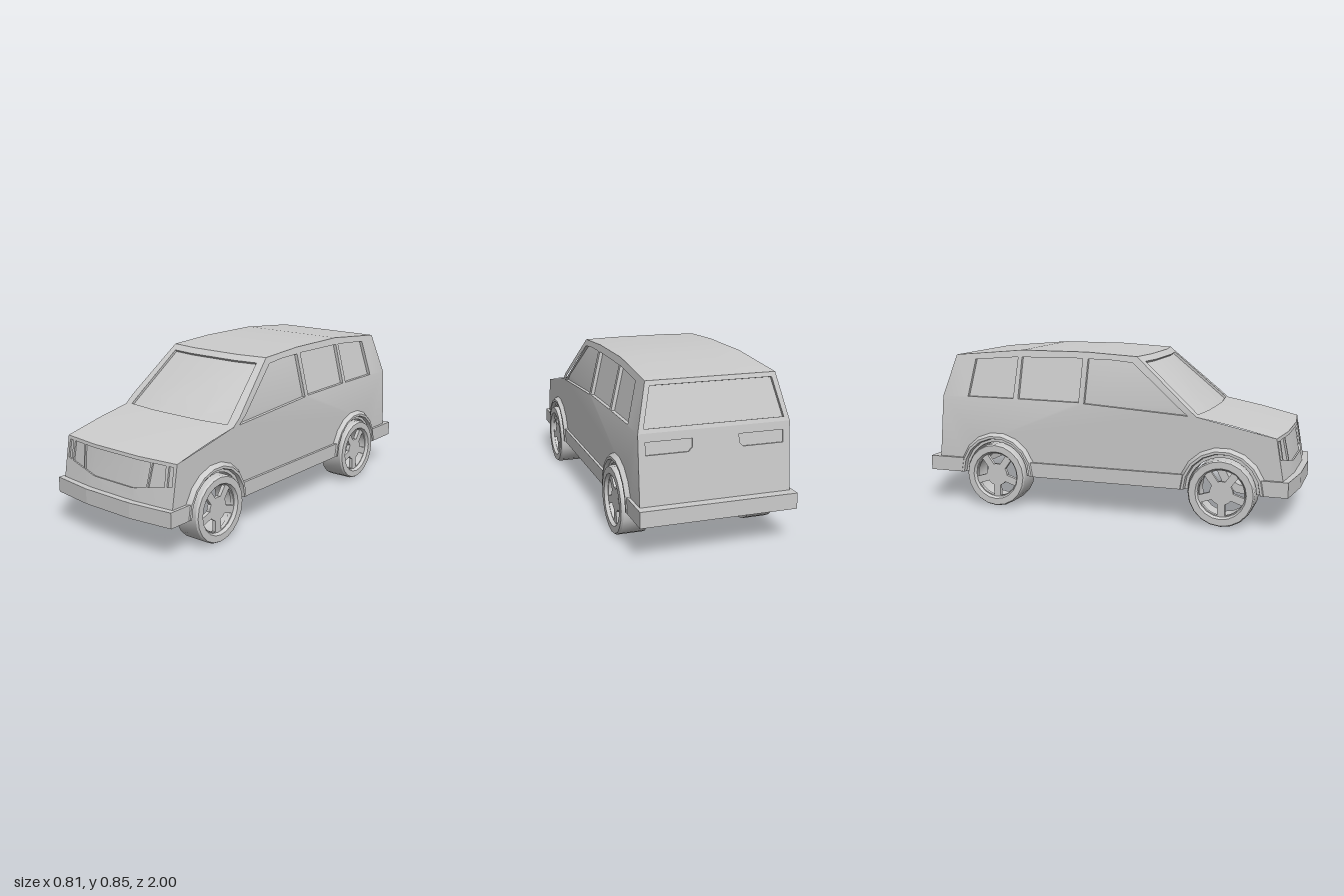
import * as THREE from 'three';
import { toCreasedNormals } from 'three/addons/utils/BufferGeometryUtils.js';

const grey = new THREE.MeshStandardMaterial({ color: 0xcccccc });
const BELT = 0.585, FLAT = 0.15, FLOOR = 0.175;
const WHEELS = [0.64, -0.6];
const ARCH = 0.19, WELL = 0.174;
const lerp = THREE.MathUtils.lerp;

// Half width of the body: upright below the belt line, leaning in above it
const halfWidth = y => (y < BELT ? 0.374 : lerp(0.374, 0.312, (y - BELT) / (0.845 - BELT)));
// Bow of the nose, windscreen and hood: flat in the middle, swept back at both ends
const bowAt = (x, y, bow) =>
  bow * THREE.MathUtils.clamp((halfWidth(y) - Math.abs(x)) / (halfWidth(y) - FLAT), 0, 1);

function mesh(name, geometry) {
  const m = new THREE.Mesh(geometry, grey);
  m.name = name;
  return m;
}

// Mesh from convex polygons of [x, y, z] corners
function polyMesh(name, polys, flip = false) {
  const pos = [];
  for (const p of polys) {
    for (let i = 1; i < p.length - 1; i++) {
      const tri = flip ? [p[0], p[i + 1], p[i]] : [p[0], p[i], p[i + 1]];
      for (const v of tri) pos.push(...v);
    }
  }
  const g = new THREE.BufferGeometry();
  g.setAttribute('position', new THREE.Float32BufferAttribute(pos, 3));
  return mesh(name, toCreasedNormals(g, 0.4));
}

// Quads between successive rows of points
function gridPolys(rows) {
  const polys = [];
  for (let i = 0; i < rows.length - 1; i++)
    for (let j = 0; j < rows[i].length - 1; j++)
      polys.push([rows[i][j], rows[i][j + 1], rows[i + 1][j + 1], rows[i + 1][j]]);
  return polys;
}

// Part of a flat polygon on one side of a line
function clip(poly, axis, c, sign) {
  const out = [];
  poly.forEach((p, i) => {
    const q = poly[(i + 1) % poly.length];
    const a = sign * (p[axis] - c), b = sign * (q[axis] - c);
    if (a >= 0) out.push(p);
    if (a * b < 0) out.push([0, 1].map(k => lerp(p[k], q[k], a / (a - b))));
  });
  return out;
}

// Triangulated outline, split along the fold lines of the panel
function fill(outline, holes, cuts) {
  const vec = pts => pts.map(p => new THREE.Vector2(p[0], p[1]));
  const shape = new THREE.Shape(vec(outline));
  shape.holes = holes.map(h => new THREE.Path(vec(h)));
  const g = new THREE.ShapeGeometry(shape);
  const at = g.attributes.position, idx = g.index.array;
  let polys = [];
  for (let i = 0; i < idx.length; i += 3)
    polys.push([0, 1, 2].map(k => [at.getX(idx[i + k]), at.getY(idx[i + k])]));
  for (const [axis, c] of cuts)
    polys = polys.flatMap(p => [clip(p, axis, c, 1), clip(p, axis, c, -1)]).filter(p => p.length > 2);
  return polys;
}

// Body panel with recessed openings; map(a, b, depth) places it in space
function panel(name, paneName, outline, holes, depth, map, cuts, flip) {
  const group = new THREE.Group();
  group.name = name;
  const place = d => poly => poly.map(p => map(p[0], p[1], d));
  const faces = fill(outline, holes, cuts).map(place(0));
  for (let h of holes) {
    if (THREE.ShapeUtils.isClockWise(h.map(p => new THREE.Vector2(...p)))) h = [...h].reverse();
    h.forEach((p, i) => {
      const q = h[(i + 1) % h.length];
      faces.push([map(...p, 0), map(...q, 0), map(...q, depth), map(...p, depth)]);
    });
    group.add(polyMesh(paneName, fill(h, [], cuts).map(place(depth)), flip));
  }
  group.add(polyMesh(name + 'Shell', faces, flip));
  return group;
}

// Panel across the car between two profile points [z, y]
function crossPanel(name, paneName, [zA, yA], [zB, yB], bow, holes, depth, facing) {
  const right = [yA, BELT, yB].filter(y => y >= yA && y <= yB).filter((y, i, l) => l.indexOf(y) === i)
    .map(y => [halfWidth(y), y]);
  const outline = [...right, ...[...right].reverse().map(([x, y]) => [-x, y])];
  const len = Math.hypot(zB - zA, yB - yA);
  const ny = facing * (zA - zB) / len, nz = facing * (yB - yA) / len;
  const map = (x, y, d) => [x, y - d * ny,
    lerp(zA, zB, (y - yA) / (yB - yA)) + bowAt(x, y, bow) - d * nz];
  return panel(name, paneName, outline, holes, depth, map,
    [[0, -FLAT], [0, FLAT], [1, BELT]], facing < 0);
}

// Hood or roof: rows across the car at each [z, y, bow]
function skin(name, profile) {
  return polyMesh(name, gridPolys(profile.map(([z, y, bow]) =>
    [-halfWidth(y), -FLAT, FLAT, halfWidth(y)].map(x => [x, y, z + bowAt(x, y, bow)]))));
}

const mirrorX = pts => pts.map(([x, y]) => [-x, y]);
const arc = (zc, r, n = 9) => Array.from({ length: n + 1 }, (_, i) => {
  const a = Math.PI * i / n;
  return [zc - r * Math.cos(a), FLOOR + r * Math.sin(a)];
});

// Side with three windows and two wheel openings
function side(s) {
  const outline = [[-0.955, FLOOR], ...arc(WHEELS[1], ARCH), ...arc(WHEELS[0], ARCH),
    [0.955, FLOOR], [0.905, 0.46], [0.505, 0.545], [0.175, 0.83], [-0.1, 0.845],
    [-0.47, 0.845], [-0.86, 0.81], [-0.922, BELT]];
  const windows = [
    [[0.46, 0.547], [-0.095, 0.582], [-0.09, 0.81], [0.04, 0.808], [0.155, 0.798]],
    [[-0.125, 0.586], [-0.472, 0.59], [-0.467, 0.808], [-0.12, 0.812]],
    [[-0.5, 0.59], [-0.77, 0.59], [-0.742, 0.788], [-0.49, 0.808]]];
  const map = (z, y, d) => [s * (halfWidth(y) - d), y, z];
  return panel(s > 0 ? 'leftSide' : 'rightSide', 'sideWindow', outline, windows, 0.018, map,
    [[1, BELT]], s > 0);
}

// Stepped fender flare running into the wheel well
function wheelArch(s, zc) {
  const profile = [[0.225, 0.373], [0.208, 0.395], [0.195, 0.395], [0.19, 0.375], [WELL, 0.375], [WELL, 0.25]];
  const rows = profile.map(([r, x]) => arc(zc, r, r === WELL ? 18 : 9).map(([z, y]) => [s * x, y, z]));
  // The well lip has twice as many sides, so the step above it gets matching midpoints
  const fine = row => row.flatMap((p, i) => (i ? [p.map((v, k) => (v + row[i - 1][k]) / 2), p] : [p]));
  return polyMesh('wheelArch', [...gridPolys(rows.slice(0, 4)),
    ...gridPolys([fine(rows[3]), rows[4], rows[5]])], s < 0);
}

// Wheel about the x axis, open at the back, with a five-spoke face
function wheel(s, zc) {
  const g = new THREE.Group();
  g.name = 'wheel';
  const tyre = new THREE.LatheGeometry([[0.122, -0.07], [0.17, -0.07], [0.17, 0.058], [0.164, 0.068],
    [0.13, 0.068], [0.122, 0.055], [0.122, -0.07]].map(p => new THREE.Vector2(...p)), 20);
  tyre.rotateZ(-Math.PI / 2);
  g.add(mesh('tyre', toCreasedNormals(tyre, 0.5)));
  const face = new THREE.Shape().absarc(0, 0, 0.124, 0, Math.PI * 2);
  for (let k = 0; k < 5; k++) {
    const mid = Math.PI / 2 + k * Math.PI * 0.4;
    const hole = new THREE.Path();
    hole.absarc(0, 0, 0.116, mid - 0.46, mid + 0.46, false);
    hole.absarc(0, 0, 0.06, mid + 0.3, mid - 0.3, true);
    face.holes.push(hole);
  }
  const rim = new THREE.ExtrudeGeometry(face, { depth: 0.02, bevelEnabled: false, curveSegments: 10 });
  rim.rotateY(Math.PI / 2).translate(0.03, 0, 0);
  g.add(mesh('spokedRim', rim));
  g.position.set(s * 0.337, 0.17, zc);
  if (s < 0) g.rotation.y = Math.PI;
  return g;
}

function box(name, x0, x1, y0, y1, z0, z1) {
  const m = mesh(name, new THREE.BoxGeometry(x1 - x0, y1 - y0, z1 - z0));
  m.position.set((x0 + x1) / 2, (y0 + y1) / 2, (z0 + z1) / 2);
  return m;
}

export function createModel() {
  const car = new THREE.Group();
  car.name = 'minivan';

  // Nose with grille, headlamps and corner lamps
  const grille = [[-0.213, 0.325], [-FLAT, 0.312], [-0.13, 0.308], [0.13, 0.308], [FLAT, 0.312],
    [0.213, 0.325], [0.226, 0.443], [FLAT, 0.443], [-FLAT, 0.443], [-0.226, 0.443]];
  const headlamp = [[0.222, 0.326], [0.316, 0.344], [0.313, 0.443], [0.236, 0.443]];
  const cornerLamp = [[0.33, 0.347], [0.358, 0.353], [0.356, 0.443], [0.33, 0.443]];
  car.add(crossPanel('nose', 'frontLamp', [0.955, FLOOR], [0.905, 0.46], 0.025,
    [grille, headlamp, mirrorX(headlamp), cornerLamp, mirrorX(cornerLamp)], 0.009, 1));

  // Windscreen
  car.add(crossPanel('windscreenFrame', 'windscreen', [0.505, 0.545], [0.175, 0.83], 0.025,
    [[[-0.332, 0.551], [-FLAT, 0.551], [FLAT, 0.551], [0.332, 0.551],
      [0.282, 0.804], [FLAT, 0.804], [-FLAT, 0.804], [-0.282, 0.804]]], 0.013, 1));

  // Tailgate with lamps and rear window
  const tailLamp = [[0.115, 0.545], [0.34, 0.545], [0.34, 0.485], [0.135, 0.485], [0.115, 0.505]];
  car.add(crossPanel('tailgate', 'tailLamp', [-0.955, FLOOR], [-0.922, BELT], 0,
    [tailLamp, mirrorX(tailLamp)], 0.008, -1));
  car.add(crossPanel('rearWindowFrame', 'rearWindow', [-0.922, BELT], [-0.86, 0.81], 0,
    [[[-0.345, 0.605], [0.345, 0.605], [0.3, 0.788], [-0.3, 0.788]]], 0.015, -1));

  // Hood and roof
  car.add(skin('hood', [[0.905, 0.46, 0.025], [0.7, 0.508, 0.025], [0.505, 0.545, 0.025]]));
  car.add(skin('roof', [[0.175, 0.83, 0.025], [-0.1, 0.845, 0], [-0.47, 0.845, 0], [-0.86, 0.81, 0]]));

  // Floor, narrowed between the wheel wells
  const stops = [0.955, WHEELS[0] + WELL, WHEELS[0] - WELL, WHEELS[1] + WELL, WHEELS[1] - WELL, -0.955];
  car.add(polyMesh('floor', stops.slice(1).map((z, i) => {
    const w = i % 2 ? 0.25 : 0.374;
    return [[-w, FLOOR, z], [w, FLOOR, z], [w, FLOOR, stops[i]], [-w, FLOOR, stops[i]]];
  })));

  // Bumpers
  const bumper = new THREE.Shape([[-0.39, 0.835], [0.39, 0.835], [0.39, 0.97], [FLAT, 1], [-FLAT, 1],
    [-0.39, 0.97]].map(p => new THREE.Vector2(...p)));
  const front = new THREE.ExtrudeGeometry(bumper, { depth: 0.078, bevelEnabled: false });
  front.rotateX(Math.PI / 2).translate(0, 0.25, 0);
  car.add(mesh('frontBumper', front));
  car.add(box('rearBumper', -0.39, 0.39, 0.172, 0.25, -1, -0.795));

  // Sides, sills, arches and wheels
  for (const s of [1, -1]) {
    car.add(side(s));
    car.add(box('sill', s > 0 ? 0.365 : -0.388, s > 0 ? 0.388 : -0.365, 0.173, 0.25, -0.405, 0.445));
    for (const z of WHEELS) car.add(wheelArch(s, z), wheel(s, z));
  }
  return car;
}
